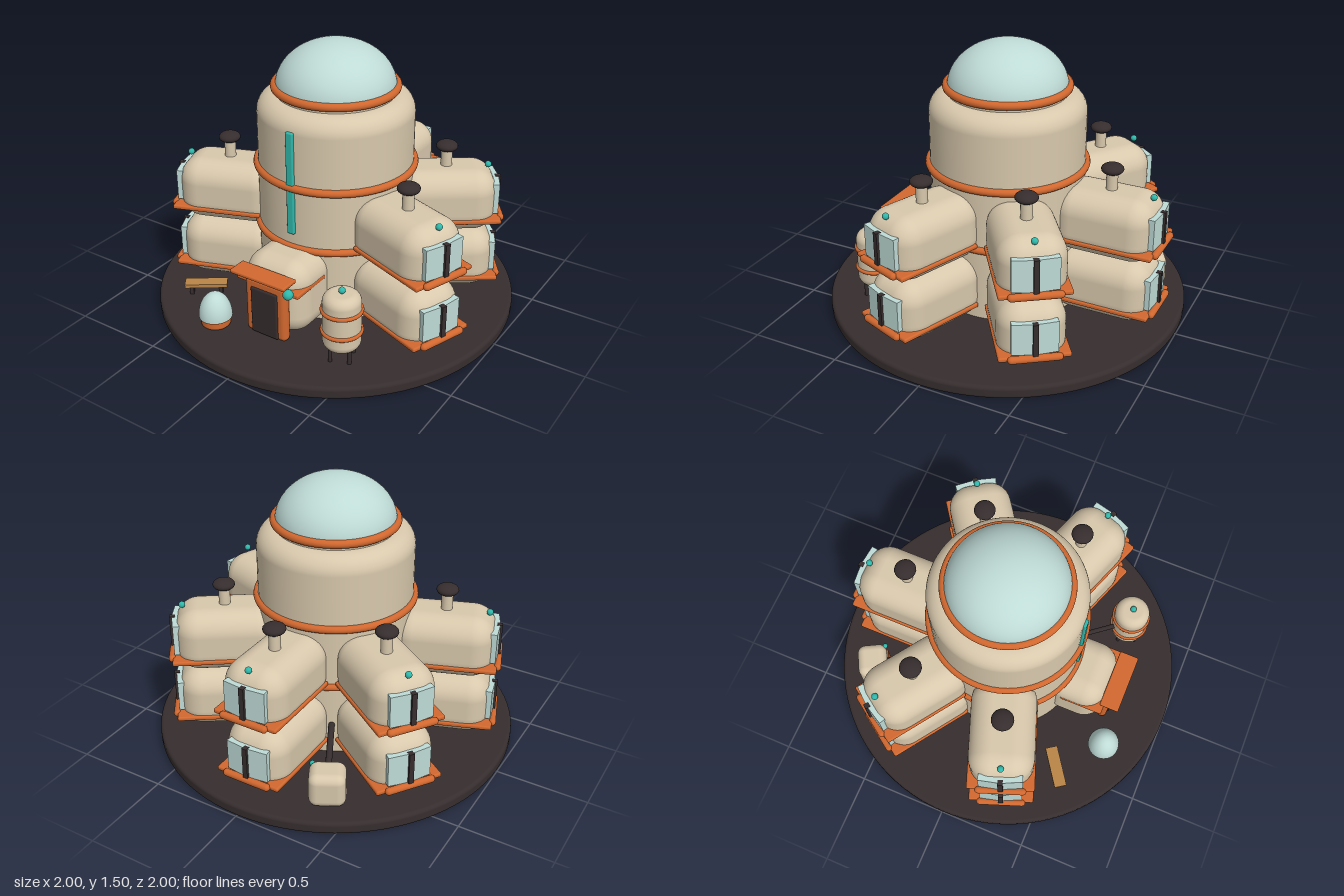
import * as THREE from 'three';
import { RoundedBoxGeometry } from 'three/addons/geometries/RoundedBoxGeometry.js';

const mat = (name, color) => {
  const m = new THREE.MeshStandardMaterial({ color });
  m.name = name;
  return m;
};

export function createModel() {
  const cream = mat('cream shell', 0xd8c8ac);
  const orange = mat('orange trim', 0xd2682f);
  const dark = mat('dark metal', 0x362d2e);
  const glass = mat('pale glass', 0xbfdbd6);
  const teal = mat('teal light', 0x30b8ab);
  const wood = mat('wood', 0xb98548);

  const root = new THREE.Group();
  root.name = 'habitat';

  const add = (parent, name, geo, material, x = 0, y = 0, z = 0) => {
    const m = new THREE.Mesh(geo, material);
    m.name = name;
    m.position.set(x, y, z);
    parent.add(m);
    return m;
  };
  const group = (name, x = 0, z = 0, yaw = 0) => {
    const g = new THREE.Group();
    g.name = name;
    g.position.set(x, 0, z);
    g.rotation.y = yaw;
    root.add(g);
    return g;
  };
  const box = (w, h, d) => new THREE.BoxGeometry(w, h, d);
  const rbox = (w, h, d, r, s = 6) => new RoundedBoxGeometry(w, h, d, s, r);
  const cyl = (r, h, n = 24) => new THREE.CylinderGeometry(r, r, h, n);
  const ball = (r) => new THREE.SphereGeometry(r, 20, 14);
  const ring = (parent, name, r, t, y) => {
    add(parent, name, new THREE.TorusGeometry(r, t, 12, 72), orange, 0, y).rotation.x = Math.PI / 2;
  };
  // Upright solid of revolution with rounded rims
  const drum = (r, y0, y1, r0, r1, n = 64) => {
    const p = [new THREE.Vector2(0, y0)];
    for (let i = 0; i <= 8; i++) {
      const a = (i / 8) * Math.PI / 2;
      p.push(new THREE.Vector2(r - r0 + r0 * Math.sin(a), y0 + r0 - r0 * Math.cos(a)));
    }
    for (let i = 0; i <= 8; i++) {
      const a = (i / 8) * Math.PI / 2;
      p.push(new THREE.Vector2(r - r1 + r1 * Math.cos(a), y1 - r1 + r1 * Math.sin(a)));
    }
    p.push(new THREE.Vector2(0, y1));
    return new THREE.LatheGeometry(p, n);
  };
  const pipe = (name, a, b, r) => {
    const path = new THREE.LineCurve3(new THREE.Vector3(...a), new THREE.Vector3(...b));
    add(root, name, new THREE.TubeGeometry(path, 1, r, 12), dark);
  };

  // Ground disc
  add(root, 'baseDisc', drum(1, 0, 0.07, 0.02, 0.02, 96), dark);

  // Central tower with dome
  const tower = group('tower');
  add(tower, 'towerBody', drum(0.42, 0.06, 1.225, 0.01, 0.1), cream);
  ring(tower, 'lowerRing', 0.423, 0.02, 0.485);
  ring(tower, 'middleRing', 0.424, 0.021, 0.832);
  ring(tower, 'domeRing', 0.323, 0.022, 1.26);
  add(tower, 'domeCollar', cyl(0.32, 0.05, 64), cream, 0, 1.235);
  const dome = add(tower, 'dome', new THREE.SphereGeometry(0.32, 64, 24, 0, Math.PI * 2, 0, Math.PI / 2), glass, 0, 1.25);
  dome.scale.y = 0.78;
  add(tower, 'lightStrip', rbox(0.044, 0.575, 0.03, 0.008, 2), teal, 0, 0.853, 0.42);

  // Five radial stacks of two pods
  for (let i = 0; i < 5; i++) {
    const stack = group('podStack', 0, 0, THREE.MathUtils.degToRad(70 + 55 * i));
    for (const y of [0.07, 0.427]) {
      add(stack, 'pod', rbox(0.355, 0.355, 0.56, 0.125), cream, 0, y + 0.178, 0.59);
      add(stack, 'deck', rbox(0.37, 0.026, 0.5, 0.01, 2), orange, 0, y + 0.088, 0.64);
      const rail = add(stack, 'deckRail', new THREE.CapsuleGeometry(0.02, 0.24, 6, 14), orange, 0, y + 0.089, 0.893);
      rail.rotation.z = Math.PI / 2;
      // Two slightly folded panes meeting at the mullion
      for (const s of [-1, 1]) {
        const pane = add(stack, 'windowPane', box(0.118, 0.175, 0.035), glass, s * 0.059, y + 0.196, 0.868);
        pane.rotation.y = s * 0.1;
      }
      add(stack, 'windowMullion', box(0.028, 0.18, 0.03), dark, 0, y + 0.196, 0.888);
    }
    add(stack, 'chimney', cyl(0.031, 0.13), cream, 0, 0.815, 0.6);
    const cap = add(stack, 'chimneyCap', ball(0.06), dark, 0, 0.895, 0.6);
    cap.scale.y = 0.5;
    add(stack, 'beacon', ball(0.018), teal, 0, 0.78, 0.83);
  }

  // Entrance
  const entry = group('entrance');
  add(entry, 'entryPod', rbox(0.385, 0.425, 0.35, 0.12), cream, 0, 0.278, 0.46);
  add(entry, 'entryBand', rbox(0.39, 0.026, 0.25, 0.008, 2), orange, 0, 0.358, 0.525);
  add(entry, 'canopy', rbox(0.34, 0.022, 0.11, 0.008, 2), orange, 0, 0.44, 0.68);
  add(entry, 'doorFrame', rbox(0.255, 0.335, 0.06, 0.028, 4), orange, 0, 0.232, 0.645);
  add(entry, 'door', rbox(0.168, 0.275, 0.024, 0.011, 3), dark, 0, 0.212, 0.672);
  add(entry, 'doorLamp', ball(0.028), teal, 0.16, 0.387, 0.685);

  // Storage tank on legs
  const tank = group('storageTank', 0.43, 0.605, 0.35);
  add(tank, 'tankBody', drum(0.1, 0.135, 0.455, 0.05, 0.05, 40), cream);
  for (const y of [0.24, 0.36]) ring(tank, 'tankBand', 0.1, 0.011, y);
  for (let i = 0; i < 4; i++) {
    const a = Math.PI / 4 + i * Math.PI / 2;
    add(tank, 'tankLeg', cyl(0.011, 0.11, 10), dark, 0.07 * Math.cos(a), 0.115, 0.07 * Math.sin(a));
  }
  add(tank, 'tankBeacon', ball(0.018), teal, 0, 0.468);
  pipe('tankPipe', [0.4, 0.258, 0.57], [0.21, 0.258, 0.33], 0.014);

  // Small glass pod on a round foot
  const egg = group('glassPod', -0.29, 0.725);
  add(egg, 'glassPodFoot', drum(0.08, 0.068, 0.125, 0.018, 0.012, 32), orange);
  const shell = add(egg, 'glassPodShell', new THREE.SphereGeometry(0.09, 32, 16, 0, Math.PI * 2, 0, Math.PI / 2), glass, 0, 0.123);
  shell.scale.y = 1.52;
  add(egg, 'glassPodFloor', cyl(0.089, 0.006, 32), orange, 0, 0.121);

  // Bench
  const bench = group('bench', -0.525, 0.52, 0.61);
  add(bench, 'benchSeat', box(0.235, 0.022, 0.07), wood, 0, 0.125);
  for (const x of [-0.08, 0.08]) add(bench, 'benchLeg', box(0.022, 0.05, 0.055), dark, x, 0.092);

  // Rear utility unit
  const unit = group('utilityUnit', -0.37, -0.715, 0.49);
  add(unit, 'unitBody', rbox(0.19, 0.19, 0.17, 0.045), cream, 0, 0.16);
  add(unit, 'unitPanel', box(0.12, 0.1, 0.02), orange, 0, 0.155, 0.085);
  add(unit, 'unitBeacon', ball(0.015), teal, 0.08, 0.225, 0.08);
  pipe('unitPipe', [-0.34, 0.19, -0.66], [-0.18, 0.25, -0.35], 0.017);

  return root;
}
